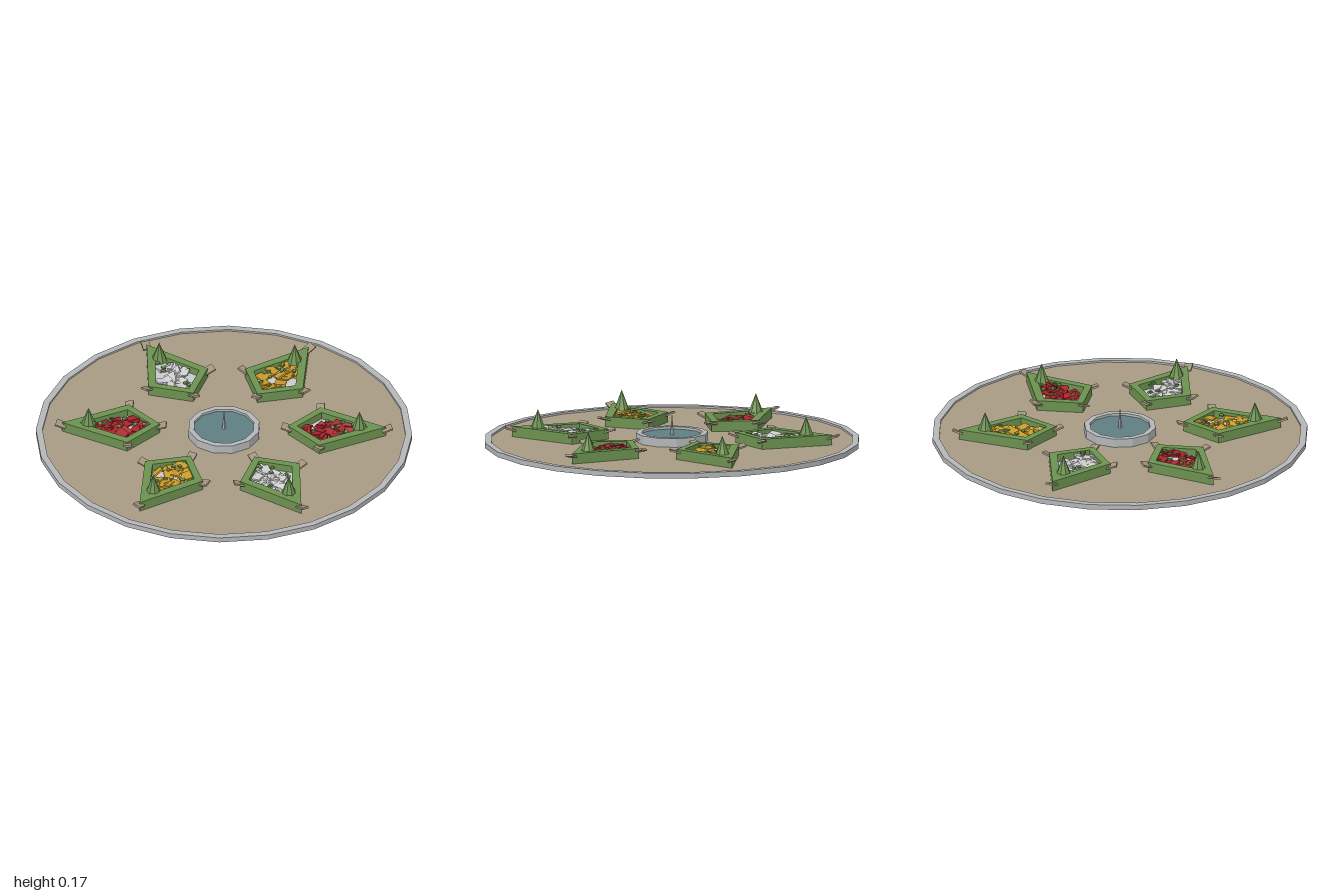
import * as THREE from 'three';

const mat = (name, color, opts = {}) => {
  const m = new THREE.MeshStandardMaterial({ color, flatShading: true, ...opts });
  m.name = name;
  return m;
};

export function createModel() {
  const root = new THREE.Group();
  root.name = 'formalGarden';

  const stone = mat('pale stone', 0xb4b6b8);
  const gravel = mat('gravel', 0xa89a84);
  const water = mat('water', 0x5f7f82);
  const hedgeGreen = mat('hedge green', 0x6c9150);
  const bark = mat('corner stone', 0xa1937e);
  const bedding = mat('bed floor', 0xc9cacd);
  const blooms = [
    mat('red bloom', 0xa8262b), mat('yellow bloom', 0xc99c2b), mat('white bloom', 0xcfcfcf),
  ];

  let seed = 7;
  const rand = (lo, hi) => {
    seed = (seed * 16807) % 2147483647;
    return lo + (hi - lo) * seed / 2147483647;
  };
  const add = (parent, name, geo, material, x = 0, y = 0, z = 0) => {
    const mesh = new THREE.Mesh(geo, material);
    mesh.name = name;
    mesh.position.set(x, y, z);
    parent.add(mesh);
    return mesh;
  };
  // Closed rectangular ring of revolution
  const ring = (inner, outer, bottom, top, sides) => new THREE.LatheGeometry([
    [inner, bottom], [outer, bottom], [outer, top], [inner, top], [inner, bottom],
  ].map(([x, y]) => new THREE.Vector2(x, y)), sides);

  // Paved circle with raised curb
  add(root, 'paving', new THREE.CylinderGeometry(0.97, 0.97, 0.013, 24), gravel, 0, 0.0115, 0);
  add(root, 'curb', ring(0.965, 1, 0, 0.028, 24), stone);

  // Central fountain
  const fountain = new THREE.Group();
  fountain.name = 'fountain';
  fountain.rotation.y = Math.PI / 12;
  root.add(fountain);
  add(fountain, 'basin', ring(0.163, 0.193, 0.012, 0.065, 12), stone);
  add(fountain, 'water', new THREE.CylinderGeometry(0.166, 0.166, 0.035, 12), water, 0, 0.034, 0);
  add(fountain, 'spout', new THREE.ConeGeometry(0.011, 0.12, 6), stone, 0, 0.11, 0);

  // Kite-shaped planting beds
  const outer = [[0.34, 0], [0.51, -0.18], [0.86, 0], [0.51, 0.18]];
  const inner = [[0.39, 0], [0.515, -0.13], [0.765, 0], [0.515, 0.13]];
  const vecs = (pts) => pts.map(([x, y]) => new THREE.Vector2(x, y));
  const extrude = (shape, depth) =>
    new THREE.ExtrudeGeometry(shape, { depth, bevelEnabled: false }).rotateX(-Math.PI / 2);
  const rim = new THREE.Shape(vecs(outer));
  rim.holes.push(new THREE.Path(vecs(inner)));
  const hedgeGeo = extrude(rim, 0.058);
  const floorGeo = extrude(new THREE.Shape(vecs(inner)), 0.016);
  const coneGeo = new THREE.ConeGeometry(0.052, 0.135, 8);
  const bloomGeo = new THREE.BoxGeometry(0.058, 0.009, 0.05);
  const leafGeo = new THREE.BoxGeometry(0.02, 0.008, 0.018);
  const scrapGeo = new THREE.BoxGeometry(0.058, 0.01, 0.045);

  // Random place inside the planted part of the kite
  const spot = () => {
    const x = rand(0.42, 0.7);
    const half = x < 0.515 ? 0.13 * (x - 0.39) / 0.125 : 0.13 * (0.765 - x) / 0.25;
    return [x, rand(-0.78, 0.78) * half];
  };

  for (let i = 0; i < 6; i++) {
    const bed = new THREE.Group();
    bed.name = 'flowerBed' + (i + 1);
    bed.rotation.y = i * Math.PI / 3;
    root.add(bed);
    add(bed, 'hedge', hedgeGeo, hedgeGreen, 0, 0.015, 0);
    add(bed, 'bedFloor', floorGeo, bedding, 0, 0.016, 0);
    add(bed, 'topiaryCone', coneGeo, hedgeGreen, 0.72, 0.1025, 0);

    // Overlapping tilted blooms and small leaves
    for (let k = 0; k < 30; k++) {
      const [x, z] = spot();
      const bloom = add(bed, 'bloom', bloomGeo, blooms[i % 3], x, rand(0.042, 0.057), z);
      bloom.rotation.set(rand(-0.4, 0.4), rand(0, 6.28), rand(-0.4, 0.4));
    }
    for (let k = 0; k < 8; k++) {
      const [x, z] = spot();
      const leaf = add(bed, 'leaf', leafGeo, hedgeGreen, x, 0.067, z);
      leaf.rotation.set(rand(-0.3, 0.3), rand(0, 6.28), 0);
    }

    // Upturned stone chips at the four corners
    for (const [x, z] of outer) {
      const out = Math.atan2(-z, x - 0.55);
      const chip = add(bed, 'cornerChip', scrapGeo, bark,
        x + Math.cos(out) * 0.006, 0.062, z - Math.sin(out) * 0.006);
      chip.rotation.order = 'YXZ';
      chip.rotation.set(rand(-0.25, 0.25), out + rand(-0.3, 0.3), 0.3);
    }
  }
  return root;
}
